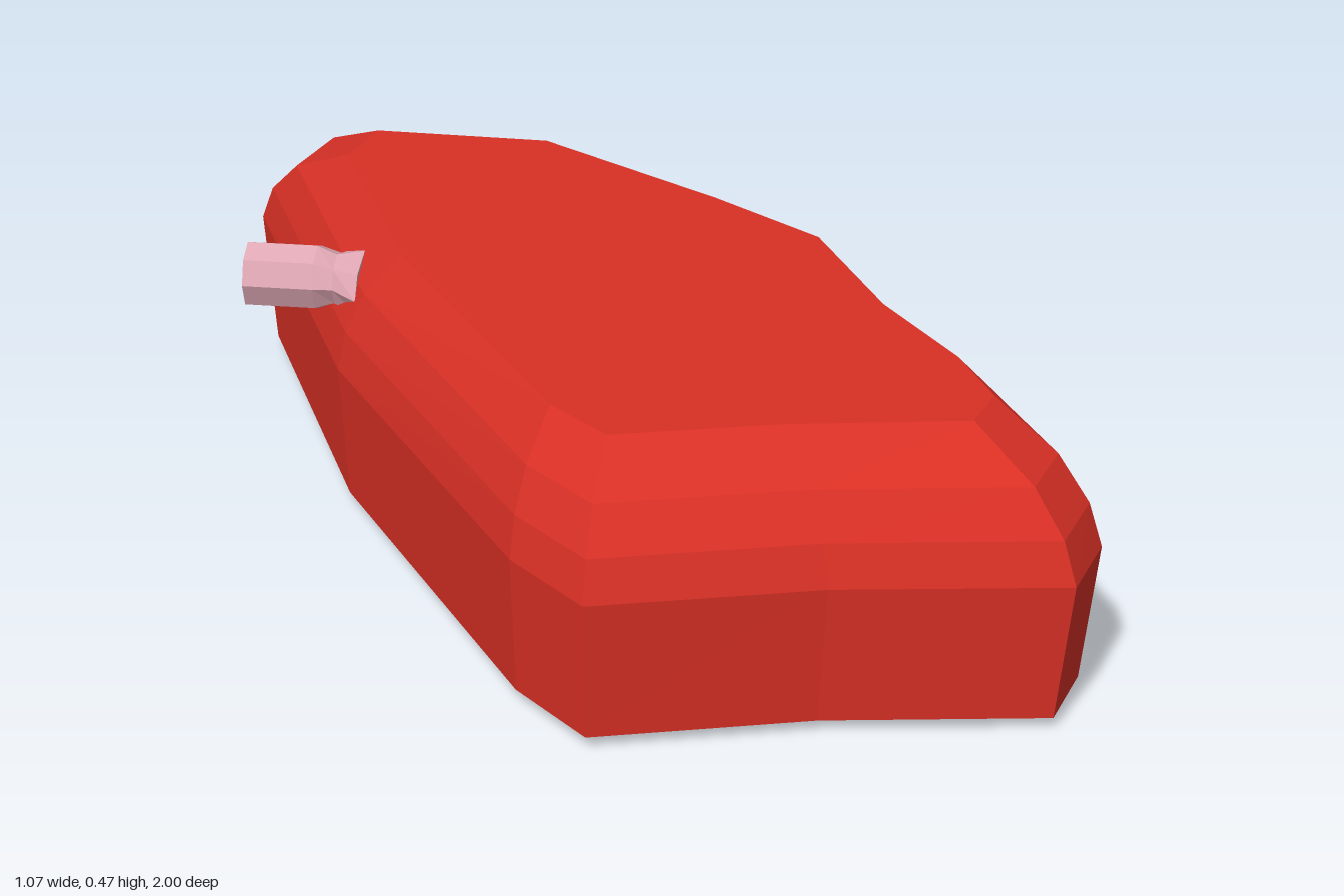
import * as THREE from 'three';

// Flat-shaded loft through stacked rings (each clockwise seen from the end), closed with fans
function loft(rings) {
  const pos = [];
  const n = rings[0].length;
  const tri = (...pts) => pts.forEach((p) => pos.push(p.x, p.y, p.z));
  const centre = (ring) =>
    ring.reduce((sum, p) => sum.add(p), new THREE.Vector3()).divideScalar(n);
  const first = rings[0], last = rings[rings.length - 1];
  const c0 = centre(first), c1 = centre(last);
  for (let j = 0; j < n; j++) {
    const k = (j + 1) % n;
    for (let i = 0; i < rings.length - 1; i++) {
      const lo = rings[i], hi = rings[i + 1];
      tri(lo[k], lo[j], hi[j]);
      tri(lo[k], hi[j], hi[k]);
    }
    tri(c0, first[j], first[k]);
    tri(c1, last[k], last[j]);
  }
  const geometry = new THREE.BufferGeometry();
  geometry.setAttribute('position', new THREE.Float32BufferAttribute(pos, 3));
  geometry.computeVertexNormals();
  return geometry;
}

function part(name, geometry, color) {
  const material = new THREE.MeshStandardMaterial({ color, flatShading: true });
  const mesh = new THREE.Mesh(geometry, material);
  mesh.name = name;
  return mesh;
}

// Each corner of the slab: widest outline x, z, then matching top-face x, z
const CORNERS = [
  [-0.23, -1.0, -0.16, -0.71],
  [0.13, -0.78, 0.12, -0.55],
  [0.40, -0.28, 0.31, -0.18],
  [0.515, 0.02, 0.41, 0.05],
  [0.495, 0.39, 0.395, 0.35],
  [0.53, 0.67, 0.42, 0.58],
  [0.53, 0.89, 0.41, 0.73],
  [0.43, 0.995, 0.34, 0.80],
  [0.07, 0.87, 0.06, 0.71],
  [-0.30, 0.79, -0.21, 0.65],
  [-0.355, 0.61, -0.255, 0.52],
  [-0.41, -0.15, -0.295, -0.13],
  [-0.35, -0.87, -0.25, -0.61],
];

// Height and inset (0 = widest outline, 1 = top-face outline)
const LEVELS = [
  [0, 0.4], [0.022, 0.12], [0.265, 0], [0.335, 0.13], [0.405, 0.42], [0.475, 1],
];

export function createModel() {
  const group = new THREE.Group();
  group.name = 'meatCut';

  // Thick slab with a rounded upper edge and a small lower chamfer
  const slabRings = LEVELS.map(([y, t]) =>
    CORNERS.map(([x, z, tx, tz]) =>
      new THREE.Vector3(x + (tx - x) * t, y, z + (tz - z) * t)));
  group.add(part('meat', loft(slabRings), 0xd93025));

  // Octagonal bone stub that flares where it enters the slab: distance, half width, half height
  const boneRings = [
    [0, 0.058, 0.06], [0.125, 0.058, 0.06], [0.16, 0.055, 0.045], [0.21, 0.1, 0.055],
  ].map(([s, w, h]) =>
    Array.from({ length: 8 }, (_, i) => {
      const a = (i * Math.PI) / 4;
      return new THREE.Vector3(Math.cos(a) * w, s, Math.sin(a) * h);
    }));
  const bone = part('bone', loft(boneRings), 0xdfa8b4);
  const along = new THREE.Vector3(0.885, 0, 0.466).normalize();
  const up = new THREE.Vector3(0, 1, 0);
  const across = new THREE.Vector3().crossVectors(along, up);
  bone.quaternion.setFromRotationMatrix(new THREE.Matrix4().makeBasis(across, along, up));
  bone.position.set(-0.51, 0.38, -0.353);
  group.add(bone);

  return group;
}
